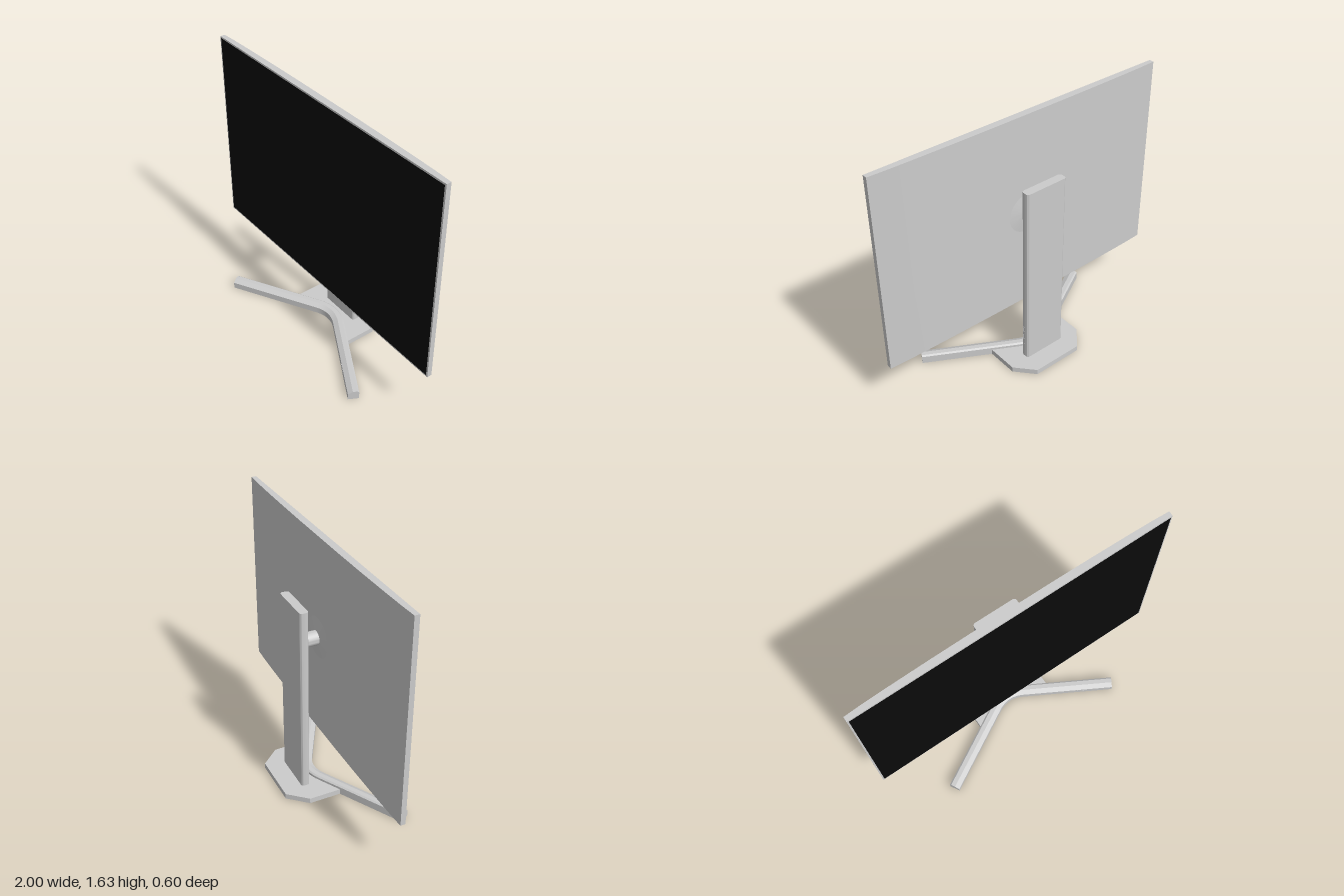
import * as THREE from 'three';
import { toCreasedNormals } from 'three/addons/utils/BufferGeometryUtils.js';

const grey = new THREE.MeshStandardMaterial({ color: 0xcccccc });
const black = new THREE.MeshStandardMaterial({ color: 0x0a0a0a });

// Extrude a plan outline of [x, z] points upwards from y0 to y1
function extrudePlan(shape, y0, y1) {
  const geo = new THREE.ExtrudeGeometry(shape, { depth: y1 - y0, bevelEnabled: false, curveSegments: 8 });
  geo.rotateX(-Math.PI / 2).translate(0, y0, 0);
  return toCreasedNormals(geo, 0.6);
}
const planShape = (pts) => new THREE.Shape(pts.map(([x, z]) => new THREE.Vector2(x, -z)));

function roundedRect(w, h, r, cy = 0) {
  const s = new THREE.Shape();
  const x = w / 2, y = h / 2;
  s.absarc(x - r, cy + y - r, r, 0, Math.PI / 2);
  s.absarc(-x + r, cy + y - r, r, Math.PI / 2, Math.PI);
  s.absarc(-x + r, cy - y + r, r, Math.PI, Math.PI * 1.5);
  s.absarc(x - r, cy - y + r, r, Math.PI * 1.5, Math.PI * 2);
  s.closePath();
  return s;
}

// Sweep a cross-section of [forward, height] points along a plan path
function sweep(path, section) {
  const n = section.length;
  const rings = path.map((p, i) => {
    const t = path[Math.min(i + 1, path.length - 1)].clone().sub(path[Math.max(i - 1, 0)]).normalize();
    return section.map(([u, y]) => new THREE.Vector3(p.x - t.y * u, y, p.y + t.x * u));
  });
  const pts = [];
  for (let i = 0; i < rings.length - 1; i++) {
    for (let j = 0; j < n; j++) {
      const k = (j + 1) % n;
      const a = rings[i][j], b = rings[i + 1][j], c = rings[i + 1][k], d = rings[i][k];
      pts.push(a, d, c, a, c, b);
    }
  }
  const first = rings[0], last = rings[rings.length - 1];
  for (let j = 1; j < n - 1; j++) {
    pts.push(first[0], first[j + 1], first[j], last[0], last[j], last[j + 1]);
  }
  const geo = new THREE.BufferGeometry().setFromPoints(pts);
  geo.computeVertexNormals();
  return toCreasedNormals(geo, 0.4);
}

export function createModel() {
  const model = new THREE.Group();
  const add = (name, geo, mat = grey, x = 0, y = 0, z = 0) => {
    const mesh = new THREE.Mesh(geo, mat);
    mesh.name = name;
    mesh.position.set(x, y, z);
    model.add(mesh);
    return mesh;
  };

  // Screen housing with a gently bowed back
  const half = [[0.25, -0.006], [0.5, -0.004], [0.75, 0], [0.9, 0.004], [1, 0.009]];
  const housing = [[-1, 0.04], [1, 0.04], ...half.slice().reverse(), ...half.map(([x, z]) => [-x, z])];
  add('screenHousing', extrudePlan(planShape(housing), 0.345, 1.635));
  add('displayPanel', new THREE.PlaneGeometry(1.98, 1.27), black, 0, 0.99, 0.0412);

  // Round mount on the back, neck and collar, turned about the z axis
  const mount = [[0.13, 0], [0.13, 0.006], [0.045, 0.015], [0.045, 0.085], [0.035, 0.087],
    [0.035, 0.093], [0.048, 0.094], [0.052, 0.098], [0.052, 0.13]];
  const lathe = new THREE.LatheGeometry(mount.map(([r, d]) => new THREE.Vector2(r, d)), 40);
  lathe.rotateX(-Math.PI / 2);
  add('screenMount', toCreasedNormals(lathe, 0.5), grey, 0, 0.993, 0);

  // Upright column
  add('column', extrudePlan(roundedRect(0.285, 0.055, 0.018, 0.153), 0.03, 1.257));

  // Sockets on the column's left edge, shown as raised rims
  for (const [y, h, w] of [[0.25, 0.042, 0.016], [0.19, 0.038, 0.016], [0.126, 0.02, 0.006]]) {
    const rim = roundedRect(w, h, w * 0.25);
    rim.holes.push(roundedRect(w * 0.6, h - w * 0.4, w * 0.1));
    const geo = new THREE.ExtrudeGeometry(rim, { depth: 0.002, bevelEnabled: false, curveSegments: 3 });
    add('socket', geo.rotateY(Math.PI / 2), grey, 0.1415, y, -0.148);
  }

  // Base plate, its front edge tucked under the legs
  add('basePlate', extrudePlan(planShape([
    [-0.165, -0.303], [-0.27, -0.185], [-0.27, 0.025], [-0.1, -0.05], [0, -0.075],
    [0.1, -0.05], [0.27, 0.025], [0.27, -0.185], [0.165, -0.303],
  ]), 0, 0.035));

  // V-shaped front legs with a rounded bend
  const bend = new THREE.QuadraticBezierCurve(
    new THREE.Vector2(-0.11, -0.032), new THREE.Vector2(0, -0.094), new THREE.Vector2(0.11, -0.032));
  const path = [new THREE.Vector2(-0.64, 0.265), ...bend.getPoints(12), new THREE.Vector2(0.64, 0.265)];
  const section = [[-0.034, 0], [-0.034, 0.05], [-0.024, 0.058], [0.004, 0.058], [0.034, 0.042], [0.034, 0]];
  add('frontLegs', sweep(path, section));

  // Thin slot marker on the front of the left leg
  add('legSlot', new THREE.BoxGeometry(0.09, 0.004, 0.002), grey, 0.43, 0.026, 0.186)
    .rotation.y = -Math.atan(0.56);

  return model;
}
